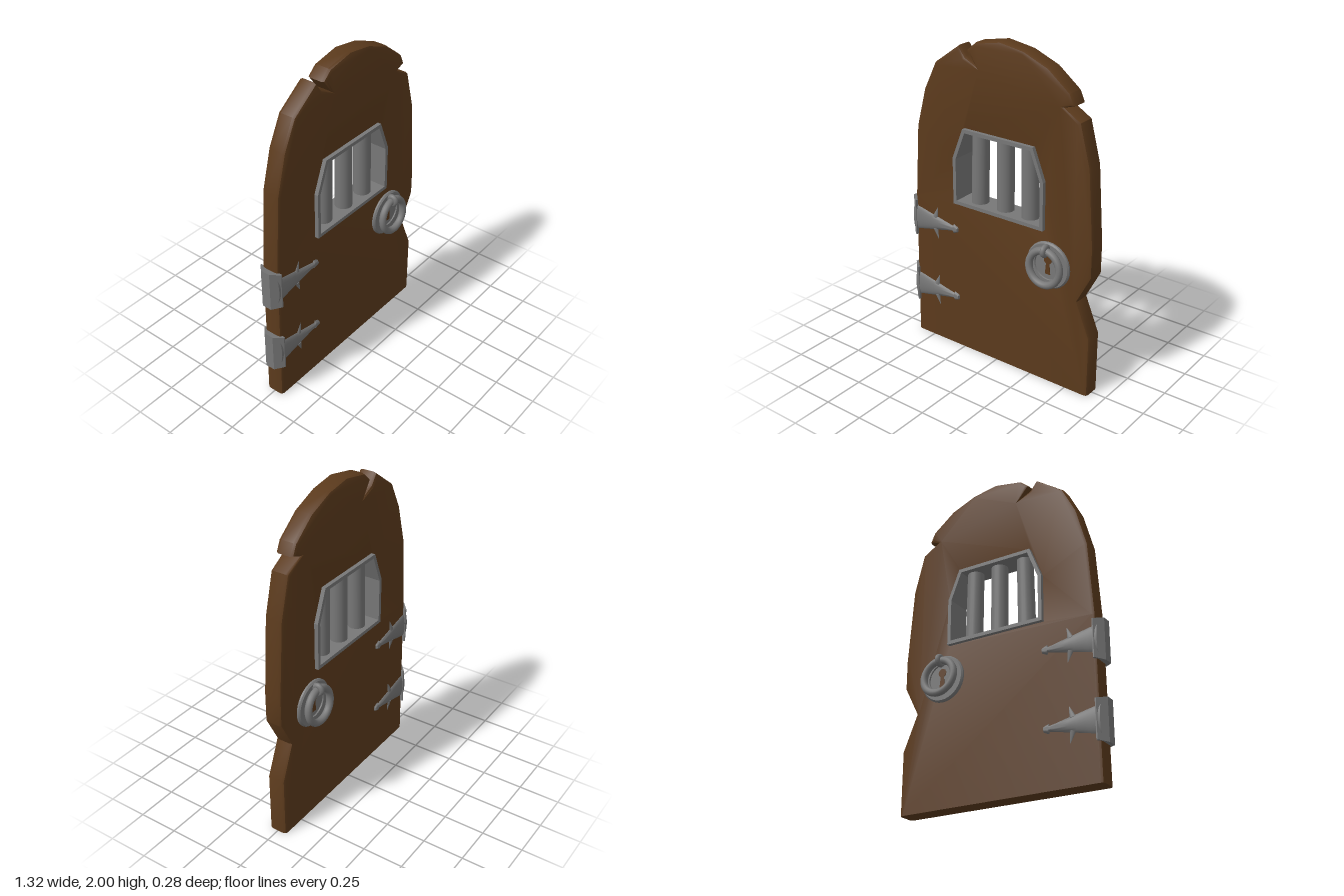
import * as THREE from 'three';
import { toCreasedNormals } from 'three/addons/utils/BufferGeometryUtils.js';

const wood = new THREE.MeshStandardMaterial({ color: 0x5b3a1c });
wood.name = 'brown wood';
const iron = new THREE.MeshStandardMaterial({ color: 0x777777 });
iron.name = 'grey iron';

const vecs = (pts) => pts.map(([x, y]) => new THREE.Vector2(x, y));

function add(parent, name, geometry, material, x = 0, y = 0, z = 0) {
  const mesh = new THREE.Mesh(geometry, material);
  mesh.name = name;
  mesh.position.set(x, y, z);
  parent.add(mesh);
  return mesh;
}

// Window outline, moved inwards by d
function windowOutline(d) {
  return vecs([
    [-0.30 + d, 0.98 + d], [0.34 - d, 0.98 + d], [0.34 - d, 1.27 - 0.19 * d],
    [0.265 - 0.68 * d, 1.46 - d], [-0.225 + 0.68 * d, 1.46 - d], [-0.30 + d, 1.27 - 0.19 * d],
  ]);
}

// Worn wooden slab with cracks, rounded edges and a window hole
function doorGeometry() {
  const bevel = 0.02;
  const shape = new THREE.Shape(vecs([
    [-0.63, -bevel], [0.655, -bevel], [0.655, 0.38], [0.565, 0.595], [0.655, 0.77],
    [0.655, 0.95], [0.62, 1.41], [0.555, 1.655], [0.45, 1.715], [0.51, 1.735],
    [0.48, 1.80], [0.34, 1.91], [0.18, 1.975], [0.02, 2.0], [-0.15, 1.967],
    [-0.21, 1.915], [-0.145, 1.835], [-0.22, 1.875], [-0.265, 1.935],
    [-0.44, 1.81], [-0.525, 1.64], [-0.59, 1.40], [-0.62, 0.95],
  ]));
  shape.holes.push(new THREE.Path(windowOutline(0.018)));
  const g = new THREE.ExtrudeGeometry(shape, {
    depth: 0.075, bevelThickness: bevel, bevelSize: bevel, bevelOffset: -bevel, bevelSegments: 2,
  });
  g.translate(0, 0, -0.0375);
  // Flat foot
  const p = g.attributes.position;
  for (let i = 0; i < p.count; i++) p.setY(i, Math.max(0, p.getY(i)));
  return toCreasedNormals(g, 0.6);
}

function frameGeometry() {
  const shape = new THREE.Shape(windowOutline(0));
  shape.holes.push(new THREE.Path(windowOutline(0.022)));
  return new THREE.ExtrudeGeometry(shape, { depth: 0.162, bevelEnabled: false }).translate(0, 0, -0.081);
}

// Tapered strap on both faces, domed above the wood
function strapGeometry() {
  const g = new THREE.LatheGeometry(vecs([
    [0.088, -0.63], [0.075, -0.57], [0.056, -0.49], [0.045, -0.44], [0.028, -0.37],
    [0.018, -0.325], [0.032, -0.32], [0.018, -0.29], [0, -0.26],
  ]), 24);
  g.rotateZ(-Math.PI / 2);
  const p = g.attributes.position;
  for (let i = 0; i < p.count; i++) {
    const y = p.getY(i), z = p.getZ(i);
    const c = z / (Math.hypot(y, z) || 1);
    p.setZ(i, Math.sign(z) * (0.05 + 0.022 * Math.abs(c)));
  }
  return toCreasedNormals(g, 0.8);
}

// Flared cap wrapping the hinge edge of the door
function capGeometry() {
  const shape = new THREE.Shape(vecs([
    [-0.66, -0.03], [-0.612, -0.075], [-0.605, -0.075], [-0.605, 0.075], [-0.612, 0.075], [-0.66, 0.03],
  ]));
  const g = new THREE.ExtrudeGeometry(shape, { depth: 0.25, bevelEnabled: false });
  g.translate(0, 0, -0.125).rotateX(-Math.PI / 2);
  const p = g.attributes.position;
  for (let i = 0; i < p.count; i++) if (p.getX(i) > -0.64) p.setY(i, p.getY(i) * 0.92);
  g.computeVertexNormals();
  return g;
}

function makeHinge(y) {
  const hinge = new THREE.Group();
  hinge.name = 'hinge';
  hinge.position.y = y;
  add(hinge, 'hingeStrap', strapGeometry(), iron);
  add(hinge, 'hingeCap', capGeometry(), iron);
  for (const face of [-1, 1]) {
    for (const side of [-1, 1]) {
      const thorn = add(hinge, 'hingeThorn', new THREE.ConeGeometry(0.02, 0.08, 10), iron,
        -0.453, side * 0.075, face * 0.056);
      thorn.rotation.z = side > 0 ? -0.3 : Math.PI + 0.3;
      thorn.scale.z = 0.6;
    }
  }
  return hinge;
}

// Round lock plate with a keyhole and a hanging ring, facing +z
function makeLock() {
  const lock = new THREE.Group();
  lock.name = 'lock';
  const plate = new THREE.LatheGeometry(vecs([
    [0.143, 0.04], [0.143, 0.068], [0.135, 0.077], [0.088, 0.077], [0.085, 0.07], [0, 0.0701],
  ]), 32).rotateX(Math.PI / 2);
  add(lock, 'lockPlate', toCreasedNormals(plate, 0.5), iron);

  const key = new THREE.Shape();
  key.moveTo(-0.018, -0.055);
  key.lineTo(0.018, -0.055);
  key.lineTo(0.011, 0.012);
  key.absarc(0, 0.035, 0.026, -1.13, Math.PI + 1.13, false);
  key.lineTo(-0.011, 0.012);
  add(lock, 'keyhole', new THREE.ExtrudeGeometry(key, { depth: 0.005, bevelEnabled: false }), wood, 0, 0, 0.068);

  const ring = add(lock, 'pullRing', new THREE.TorusGeometry(0.103, 0.022, 12, 36), iron, 0, 0, 0.109);
  ring.rotation.x = -0.08;
  const loop = add(lock, 'ringLoop', new THREE.TorusGeometry(0.024, 0.017, 10, 18), iron, 0, 0.104, 0.101);
  loop.rotation.y = Math.PI / 2;
  return lock;
}

export function createModel() {
  const model = new THREE.Group();
  model.name = 'door';
  add(model, 'doorSlab', doorGeometry(), wood);
  add(model, 'windowFrame', frameGeometry(), iron);

  // Window bars, each leaning a little
  for (const [x, lean] of [[-0.155, -0.02], [0.025, 0], [0.198, 0.015]]) {
    const bar = add(model, 'windowBar', new THREE.CylinderGeometry(0.05, 0.052, 0.46, 20), iron, x, 1.22, 0);
    bar.rotation.z = lean;
  }

  for (const y of [0.80, 0.34]) model.add(makeHinge(y));

  for (const turn of [0, Math.PI]) {
    const lock = makeLock();
    lock.position.set(0.375, 0.775, 0);
    lock.rotation.y = turn;
    model.add(lock);
  }
  return model;
}
